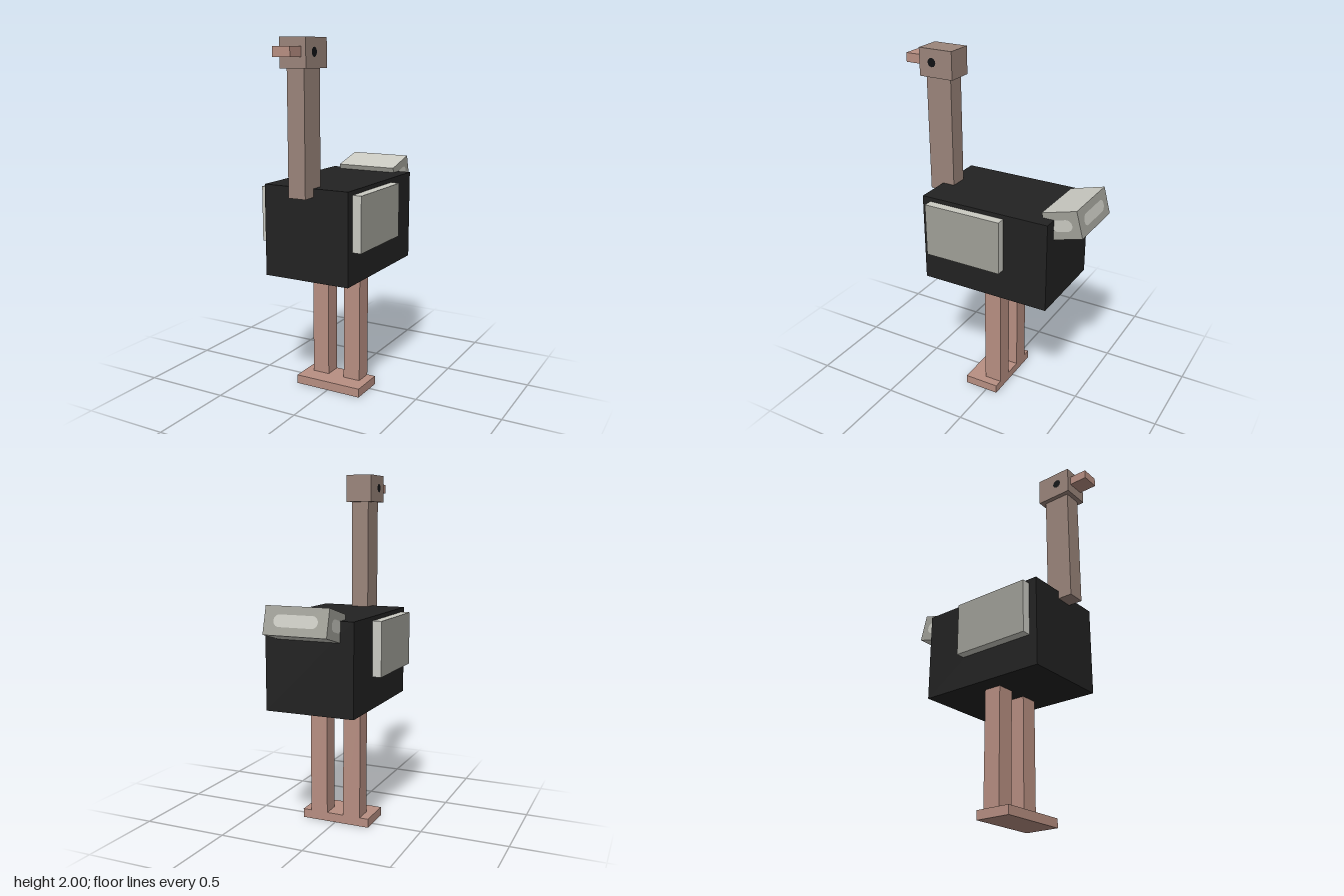
import * as THREE from 'three';

const mat = (name, color) => {
  const m = new THREE.MeshStandardMaterial({ color });
  m.name = name;
  return m;
};

export function createModel() {
  const black = mat('black plumage', 0x222222);
  const skin = mat('brown skin', 0x9b857b);
  const pink = mat('pink skin', 0xb88f82);
  const light = mat('light feather', 0xcacac2);
  const grey = mat('grey feather', 0xa0a098);
  const eyeBlack = mat('eye black', 0x101214);

  const bird = new THREE.Group();
  bird.name = 'bird';

  // box from its minimum and maximum corners
  const box = (name, material, [x0, y0, z0], [x1, y1, z1], parent = bird) => {
    const mesh = new THREE.Mesh(new THREE.BoxGeometry(x1 - x0, y1 - y0, z1 - z0), material);
    mesh.position.set((x0 + x1) / 2, (y0 + y1) / 2, (z0 + z1) / 2);
    mesh.name = name;
    parent.add(mesh);
    return mesh;
  };

  // flat patch with round ends, facing +z
  const patchGeometry = (w, h) => {
    const r = h / 2, s = new THREE.Shape();
    s.absarc(w / 2 - r, 0, r, -Math.PI / 2, Math.PI / 2);
    s.absarc(-w / 2 + r, 0, r, Math.PI / 2, Math.PI * 1.5);
    return new THREE.ShapeGeometry(s, 8);
  };

  // body, neck and head
  box('body', black, [-0.256, 0.72, -0.405], [0.256, 1.23, 0.363]);
  box('neck', skin, [-0.051, 1.184, 0.291], [0.051, 1.85, 0.445]);
  box('head', skin, [-0.077, 1.846, 0.265], [0.077, 2, 0.47]);
  box('beak', pink, [-0.051, 1.903, 0.468], [0.051, 1.954, 0.573]);

  // mirrored parts
  for (const [side, s] of [['left', 1], ['right', -1]]) {
    const span = (a, b) => (s > 0 ? [a, b] : [-b, -a]);
    const [l0, l1] = span(0.051, 0.154);
    box(side + 'Leg', pink, [l0, 0.05, -0.07], [l1, 0.72, 0.033]);
    const [f0, f1] = span(0, 0.205);
    box(side + 'Foot', pink, [f0, 0, -0.07], [f1, 0.051, 0.138]);

    // wing with a grey broad face and light edges
    const [w0, w1] = span(0.256, 0.307);
    box(side + 'Wing', [grey, grey, light, light, light, light],
      [w0, 0.9, -0.146], [w1, 1.206, 0.315]);

    const eye = new THREE.Mesh(new THREE.CircleGeometry(0.025, 12), eyeBlack);
    eye.position.set(s * 0.079, 1.927, 0.391);
    eye.rotation.y = s * Math.PI / 2;
    eye.name = side + 'Eye';
    bird.add(eye);
  }

  // tail, tilted up at the rear
  const tail = new THREE.Group();
  tail.name = 'tail';
  tail.position.set(0, 1.209, -0.451);
  tail.rotation.x = Math.PI / 12;
  bird.add(tail);
  box('tailBlock', [grey, grey, light, light, grey, grey],
    [-0.18, -0.077, -0.102], [0.18, 0.077, 0.102], tail);

  // light patches on the rear and sides of the tail
  const addPatch = (name, w, h, position, turn) => {
    const p = new THREE.Mesh(patchGeometry(w, h), light);
    p.position.set(...position);
    p.rotation.y = turn;
    p.name = name;
    tail.add(p);
  };
  addPatch('rearTailPatch', 0.25, 0.065, [0, 0, -0.104], Math.PI);
  addPatch('leftTailPatch', 0.12, 0.065, [0.182, 0, 0], Math.PI / 2);
  addPatch('rightTailPatch', 0.12, 0.065, [-0.182, 0, 0], -Math.PI / 2);

  return bird;
}
